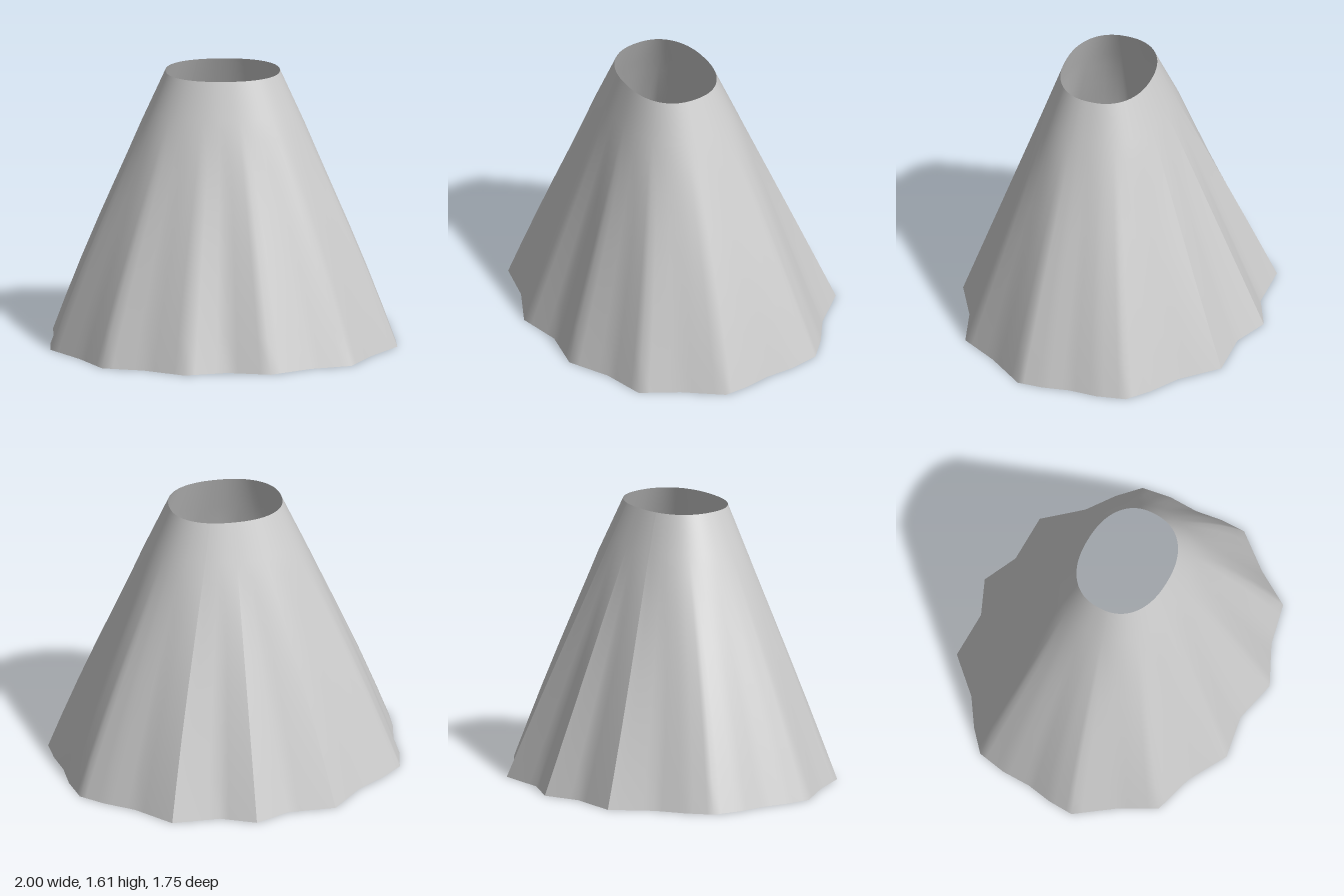
import * as THREE from 'three';

const CENTRE_Z = 0.065;

// Left half of the wavy hem, from back centre round to front centre: [x, z]
const halfHem = [
  [0, -0.88], [0.2, -0.79], [0.48, -0.79], [0.66, -0.59], [0.82, -0.48],
  [0.94, -0.37], [0.97, -0.2], [0.97, -0.03], [0.995, 0.12], [1, 0.27],
  [0.84, 0.48], [0.72, 0.69], [0.48, 0.75], [0.25, 0.87], [0, 0.82],
];
const mirrored = halfHem.slice(0, -1).reverse().map(([x, z]) => [-x, z]);
const hem = [...halfHem, ...mirrored];

// Point on a slightly squared oval in the direction of a hem point
function oval([x, z], rx, rBack, rFront) {
  const dz = z - CENTRE_Z;
  const rz = dz < 0 ? rBack : rFront;
  const n = 2.3;
  const s = (Math.abs(x / rx) ** n + Math.abs(dz / rz) ** n) ** (-1 / n);
  return [x * s, CENTRE_Z + dz * s];
}

const WAIST = 1.605, YOKE = 1.28;
const levels = [WAIST, 1.5, 1.39, YOKE, 1.1, 0.9, 0.7, 0.45, 0.2, 0];

// Smooth oval yoke above, pleats opening steadily towards the hem below
function surfacePoint(p, y) {
  if (y >= YOKE) {
    const t = (WAIST - y) / (WAIST - YOKE);
    return oval(p, 0.33 + 0.145 * t, 0.26 + 0.135 * t, 0.265 + 0.11 * t);
  }
  const t = 1 - y / YOKE;
  const [x, z] = oval(p, 0.475, 0.395, 0.375);
  const bulge = 1 + 0.02 * Math.sin(Math.PI * t);
  return [(x + (p[0] - x) * t) * bulge, z + (p[1] - z) * t];
}

// One cloth panel between two hem points
function panel(name, from, to, material) {
  const steps = 4, columns = [];
  for (let i = from; i < to; i++) {
    const [a, b] = [hem[i], hem[i + 1]];
    for (let k = 0; k < steps; k++) {
      const t = k / steps;
      columns.push([a[0] + (b[0] - a[0]) * t, a[1] + (b[1] - a[1]) * t]);
    }
  }
  columns.push(hem[to]);

  const positions = [], indices = [], w = columns.length;
  levels.forEach((y, r) => {
    columns.forEach((p, c) => {
      const [x, z] = surfacePoint(p, y);
      positions.push(x, y, z);
      if (r < levels.length - 1 && c < w - 1) {
        const i = r * w + c;
        indices.push(i, i + 1, i + w, i + 1, i + w + 1, i + w);
      }
    });
  });
  const geometry = new THREE.BufferGeometry();
  geometry.setAttribute('position', new THREE.Float32BufferAttribute(positions, 3));
  geometry.setIndex(indices);
  geometry.computeVertexNormals();
  const mesh = new THREE.Mesh(geometry, material);
  mesh.name = name;
  return mesh;
}

export function createModel() {
  const skirt = new THREE.Group();
  skirt.name = 'skirt';
  const cloth = new THREE.MeshStandardMaterial({ color: 0xcccccc, side: THREE.DoubleSide });
  const last = hem.length - 1;
  // Panels meet at the three sharp pleats on the back
  skirt.add(
    panel('backLeftPanel', 0, 2, cloth),
    panel('frontPanel', 2, last - 2, cloth),
    panel('backRightPanel', last - 2, last, cloth),
  );
  return skirt;
}
